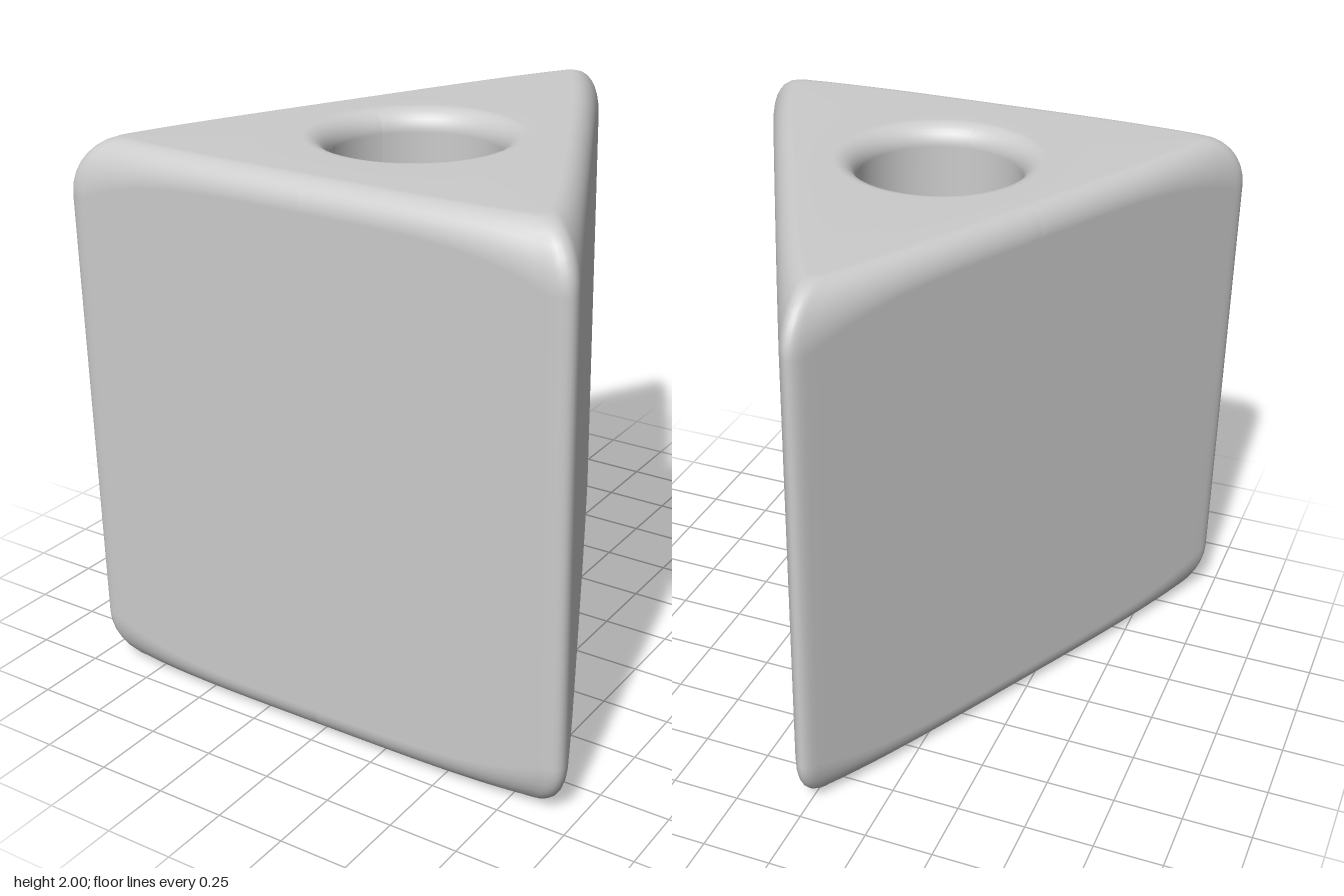
import * as THREE from 'three';

const HEIGHT = 2, HOLE_R = 0.3, RIM = 0.08;
const HOLE = new THREE.Vector2(0, 0.3); // x, z of the hole's axis
const CORNERS = [[-0.99, 0.968], [0.99, 0.968], [0, -1.02]].map(p => new THREE.Vector2(...p));

// Plan outline of one third: seam, straight side, rounded corner, straight side, seam
function outline(prev, corner, next) {
  const a = prev.clone().lerp(corner, 0.5), b = next.clone().lerp(corner, 0.5);
  const towards = p => corner.clone().add(p.clone().sub(corner).setLength(0.1));
  const p1 = towards(a), p2 = towards(b);
  const pts = [], n = 20, m = 8;
  for (let i = 0; i < n; i++) pts.push({ p: a.clone().lerp(p1, i / n), u: i / n });
  const bend = new THREE.QuadraticBezierCurve(p1, corner, p2);
  for (let i = 0; i <= m; i++) pts.push({ p: bend.getPoint(i / m), u: 1 });
  for (let i = 1; i <= n; i++) pts.push({ p: p2.clone().lerp(b, i / n), u: 1 - i / n });
  return pts;
}

// Closed radial section [radius, y]: rounded outer wall, flat top, rounded hole rim, and back
function section(dist, u) {
  const w = u ** 4;
  const drop = 0.1 + 0.1 * w;
  const inset = dist * (0.14 + 0.03 * w);
  const steps = 8, top = [];
  for (let k = 0; k <= steps; k++) {
    const t = k / steps * Math.PI / 2;
    top.push([dist - inset * (1 - Math.cos(t)), HEIGHT - drop * (1 - Math.sin(t))]);
  }
  for (let k = 0; k <= steps; k++) {
    const t = k / steps * Math.PI / 2;
    top.push([HOLE_R + RIM * (1 - Math.sin(t)), HEIGHT - RIM * (1 - Math.cos(t))]);
  }
  const bottom = top.map(([r, y]) => [r, HEIGHT - y]).reverse();
  return [...top, ...bottom];
}

function third(prev, corner, next) {
  const pos = [], index = [];
  const pts = outline(prev, corner, next);
  let rows = 0;
  for (const { p, u } of pts) {
    const dir = p.clone().sub(HOLE), dist = dir.length();
    dir.normalize();
    const sec = section(dist, u);
    rows = sec.length;
    for (const [r, y] of sec) pos.push(HOLE.x + dir.x * r, y, HOLE.y + dir.y * r);
  }
  for (let i = 0; i < pts.length - 1; i++) {
    for (let j = 0; j < rows; j++) {
      const k = (j + 1) % rows;
      const a = i * rows + j, b = a + rows, c = (i + 1) * rows + k, d = i * rows + k;
      index.push(a, b, c, a, c, d);
    }
  }
  const geo = new THREE.BufferGeometry();
  geo.setAttribute('position', new THREE.Float32BufferAttribute(pos, 3));
  geo.setIndex(index);
  geo.computeVertexNormals();
  return geo;
}

export function createModel() {
  const group = new THREE.Group();
  group.name = 'triangularBlock';
  const material = new THREE.MeshStandardMaterial({ color: 0xcccccc });
  // Three wedge segments meeting at the middle of each side
  ['rightFrontSegment', 'leftFrontSegment', 'backSegment'].forEach((name, i) => {
    const mesh = new THREE.Mesh(third(CORNERS[(i + 2) % 3], CORNERS[i], CORNERS[(i + 1) % 3]), material);
    mesh.name = name;
    group.add(mesh);
  });
  return group;
}
